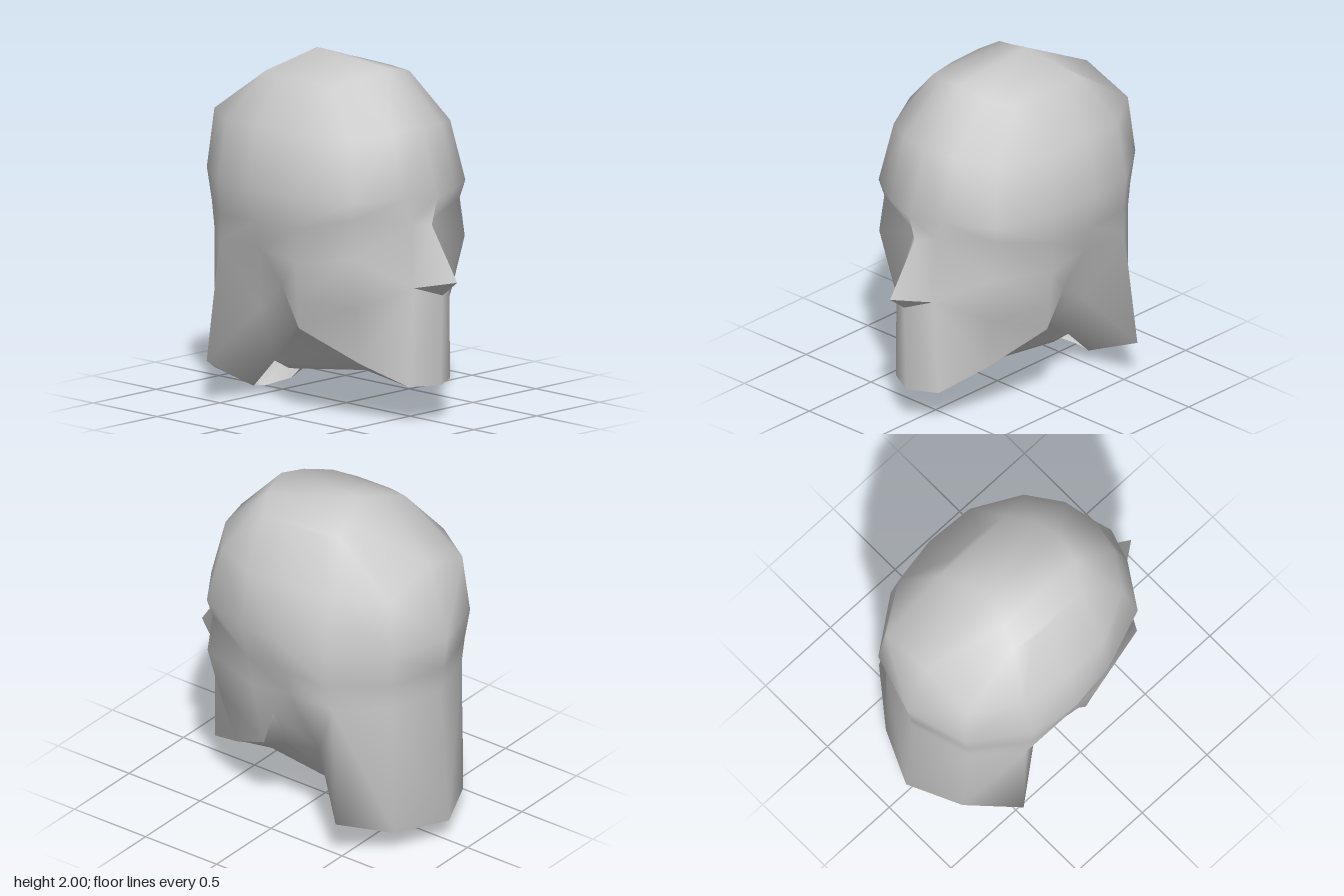
import * as THREE from 'three';
import { mergeVertices } from 'three/addons/utils/BufferGeometryUtils.js';

// Half cross-sections of the head, from the front centre line round to the back centre line.
const top = [
  [0, 1.96, 0.31], [0.165, 1.92, 0.28], [0.31, 1.88, 0.19], [0.33, 1.885, 0.02],
  [0.33, 1.89, -0.2], [0.3, 1.9, -0.33], [0.17, 1.945, -0.28], [0, 2, -0.23]];
const forehead = [
  [0, 1.66, 0.59], [0.2, 1.65, 0.55], [0.4, 1.62, 0.42], [0.545, 1.63, 0.14],
  [0.555, 1.65, -0.16], [0.51, 1.63, -0.44], [0.33, 1.63, -0.71], [0, 1.74, -0.725]];
const brow = [
  [0, 1.28, 0.715], [0.2, 1.29, 0.65], [0.45, 1.28, 0.49], [0.585, 1.3, 0.14],
  [0.63, 1.32, -0.14], [0.575, 1.3, -0.44], [0.35, 1.29, -0.75], [0, 1.3, -0.86]];
const eyes = [
  [0, 1.12, 0.67], [0.08, 1.12, 0.585], [0.43, 1.18, 0.465], [0.555, 1.1, 0.13],
  [0.575, 1.1, -0.15], [0.555, 1.1, -0.44], [0.34, 1.1, -0.72], [0, 1.1, -0.83]];
const cheeks = [
  [0, 0.82, 0.87], [0.14, 0.78, 0.67], [0.45, 0.96, 0.485], [0.525, 0.9, 0.11],
  [0.54, 0.95, -0.15], [0.54, 0.95, -0.46], [0.34, 0.95, -0.7], [0, 0.95, -0.805]];

// Lower face, jaw line and throat
const jawBack = [0.5, 0.75, -0.015];
const lip = [[0, 0.73, 0.755], cheeks[1], [0.385, 0.67, 0.45], [0.49, 0.68, 0.09], jawBack];
const jaw = [[0, 0.215, 0.74], [0.165, 0.215, 0.65], [0.3, 0.33, 0.4], [0.46, 0.51, 0.08], jawBack];
const throat = [[0, 0.25, 0.28], [0.13, 0.25, 0.28], [0.2, 0.34, 0.13], [0.36, 0.49, -0.02], jawBack];
const throatEdge = [[0, 0.165, -0.33], [0.12, 0.165, -0.33], [0.165, 0.205, -0.4]];

// Flared nape, its underside and the hollow beside the neck
const napeRim = [[0.585, 0.25, -0.52], [0.31, 0.14, -0.73], [0, 0.13, -0.87]];
const napeBase = [[0.15, 0.03, -0.58], [0.15, 0.03, -0.58], [0, 0, -0.64]];
const hollow = [0.41, 0.56, -0.27];

const material = new THREE.MeshStandardMaterial({ color: 0xcccccc, side: THREE.DoubleSide });

// Smooth mirrored mesh; build receives tri for single faces and skin for strips
function part(name, build) {
  const positions = [];
  // Each triangle is added together with its mirror image
  const tri = (a, b, c) => {
    if (a === b || b === c || a === c) return;
    positions.push(...a, ...b, ...c);
    for (const [x, y, z] of [a, c, b]) positions.push(x === 0 ? 0 : -x, y, z);
  };
  // Surface between successive rows, running downwards
  const skin = (...rows) => {
    for (let i = 0; i + 1 < rows.length; i++) {
      const n = Math.min(rows[i].length, rows[i + 1].length);
      for (let j = 0; j + 1 < n; j++) {
        const a = rows[i][j], b = rows[i][j + 1], c = rows[i + 1][j + 1], d = rows[i + 1][j];
        tri(a, d, c);
        tri(a, c, b);
      }
    }
  };
  build(tri, skin);
  const raw = new THREE.BufferGeometry();
  raw.setAttribute('position', new THREE.Float32BufferAttribute(positions, 3));
  const geometry = mergeVertices(raw);
  geometry.computeVertexNormals();
  const mesh = new THREE.Mesh(geometry, material);
  mesh.name = name;
  return mesh;
}

function createModel() {
  const corner = napeRim[0], neckSide = throatEdge[2];
  const group = new THREE.Group();
  group.name = 'headModel';

  group.add(part('head', (tri, skin) => {
    // Crown, skull and face
    skin([top[7], top[6], top[5], top[4]], top.slice(0, 4));
    skin(top, forehead, brow, eyes, cheeks);
    skin(cheeks.slice(1, 5), lip.slice(1));
    skin(lip, jaw);
    // Nape and its underside
    skin(cheeks.slice(5), napeRim, napeBase);
    // Sides of the neck
    tri(cheeks[4], jawBack, hollow);
    tri(cheeks[4], hollow, cheeks[5]);
    tri(cheeks[5], hollow, corner);
    tri(jawBack, throat[3], hollow);
    tri(throat[3], neckSide, hollow);
    tri(hollow, neckSide, corner);
    tri(neckSide, napeBase[0], corner);
  }));

  group.add(part('noseBase', (tri, skin) => skin(cheeks.slice(0, 2), lip.slice(0, 2))));

  // Underside of the jaw, open at the neck
  group.add(part('throat', (tri, skin) => {
    skin(jaw, throat, throatEdge);
    tri(throat[3], throat[2], neckSide);
  }));

  return group;
}

export { createModel };
